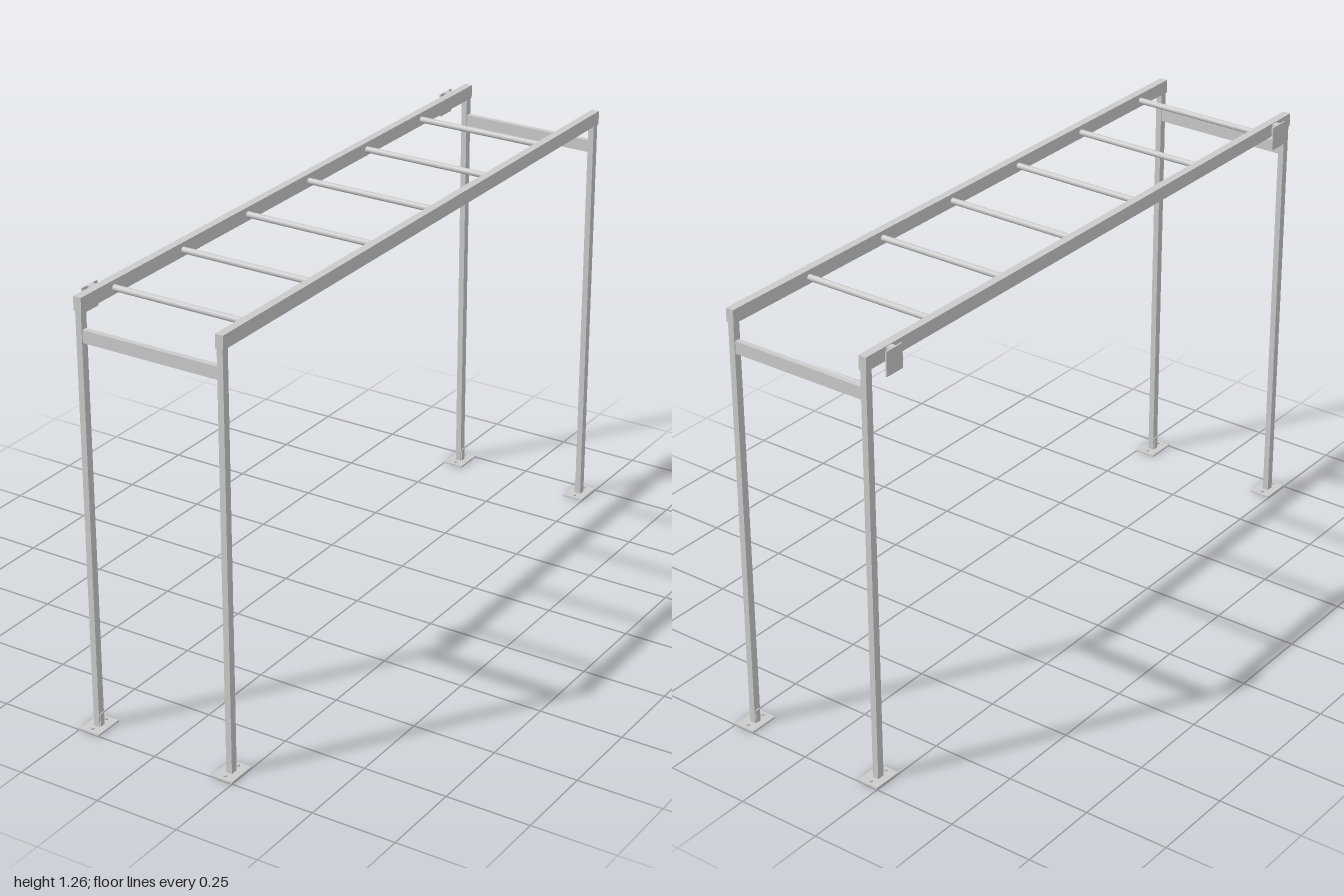
import * as THREE from 'three';

const grey = new THREE.MeshStandardMaterial({ color: 0xcccccc });
const X = 0.217, Z = 0.955, RAIL_BOTTOM = 1.222, RAIL_TOP = 1.262;

function add(parent, name, geometry, x, y, z) {
  const mesh = new THREE.Mesh(geometry, grey);
  mesh.name = name;
  mesh.position.set(x, y, z);
  parent.add(mesh);
  return mesh;
}

function box(parent, name, w, h, d, x, y, z) {
  return add(parent, name, new THREE.BoxGeometry(w, h, d), x, y, z);
}

// Upright rectangular tube or pierced plate, standing on y = 0
function hollowBox(w, d, holeW, holeD, height) {
  const rect = (C, a, b) => new C([
    new THREE.Vector2(-a / 2, -b / 2), new THREE.Vector2(a / 2, -b / 2),
    new THREE.Vector2(a / 2, b / 2), new THREE.Vector2(-a / 2, b / 2),
  ]);
  const shape = rect(THREE.Shape, w, d);
  shape.holes.push(rect(THREE.Path, holeW, holeD));
  return new THREE.ExtrudeGeometry(shape, { depth: height, bevelEnabled: false }).rotateX(-Math.PI / 2);
}

// Post with base plate, gusset and bolts
function createLeg(sx, sz) {
  const leg = new THREE.Group();
  leg.name = 'leg';
  add(leg, 'post', hollowBox(0.018, 0.022, 0.013, 0.017, RAIL_BOTTOM), 0, 0, 0);
  add(leg, 'basePlate', hollowBox(0.064, 0.09, 0.015, 0.019, 0.005), 0, 0, 0);
  box(leg, 'gusset', 0.003, 0.04, 0.016, -sx * 0.0105, 0.024, 0);
  for (const s of [-1, 1]) {
    add(leg, 'bolt', new THREE.CylinderGeometry(0.005, 0.005, 0.004, 6), 0, 0.007, s * 0.03);
  }
  leg.position.set(sx * X, 0, sz * Z);
  return leg;
}

// Side bracket: outer hanging plate joined to the rail by a short web
function createBracket(sz) {
  const bracket = new THREE.Group();
  bracket.name = 'sideBracket';
  box(bracket, 'bracketPlate', 0.004, 0.07, 0.063, -0.245, 1.225, 0);
  box(bracket, 'bracketWeb', 0.016, 0.034, 0.022, -0.236, 1.243, 0);
  bracket.position.z = sz * 0.88;
  return bracket;
}

export function createModel() {
  const model = new THREE.Group();
  model.name = 'overheadLadder';

  // Long side rails
  for (const sx of [-1, 1]) {
    box(model, 'sideRail', 0.024, RAIL_TOP - RAIL_BOTTOM, 1.936, sx * X, (RAIL_TOP + RAIL_BOTTOM) / 2, 0);
  }

  // Legs, end beams and brackets
  for (const sz of [-1, 1]) {
    for (const sx of [-1, 1]) model.add(createLeg(sx, sz));
    box(model, 'endBeam', 2 * X - 0.018, 0.036, 0.016, 0, 1.154, sz * Z);
    model.add(createBracket(sz));
  }

  // Round rungs
  const rung = new THREE.CylinderGeometry(0.009, 0.009, 0.412, 20).rotateZ(Math.PI / 2);
  for (let i = 0; i < 6; i++) add(model, 'rung', rung, 0, 1.241, -0.674 + i * 0.3006);

  return model;
}
